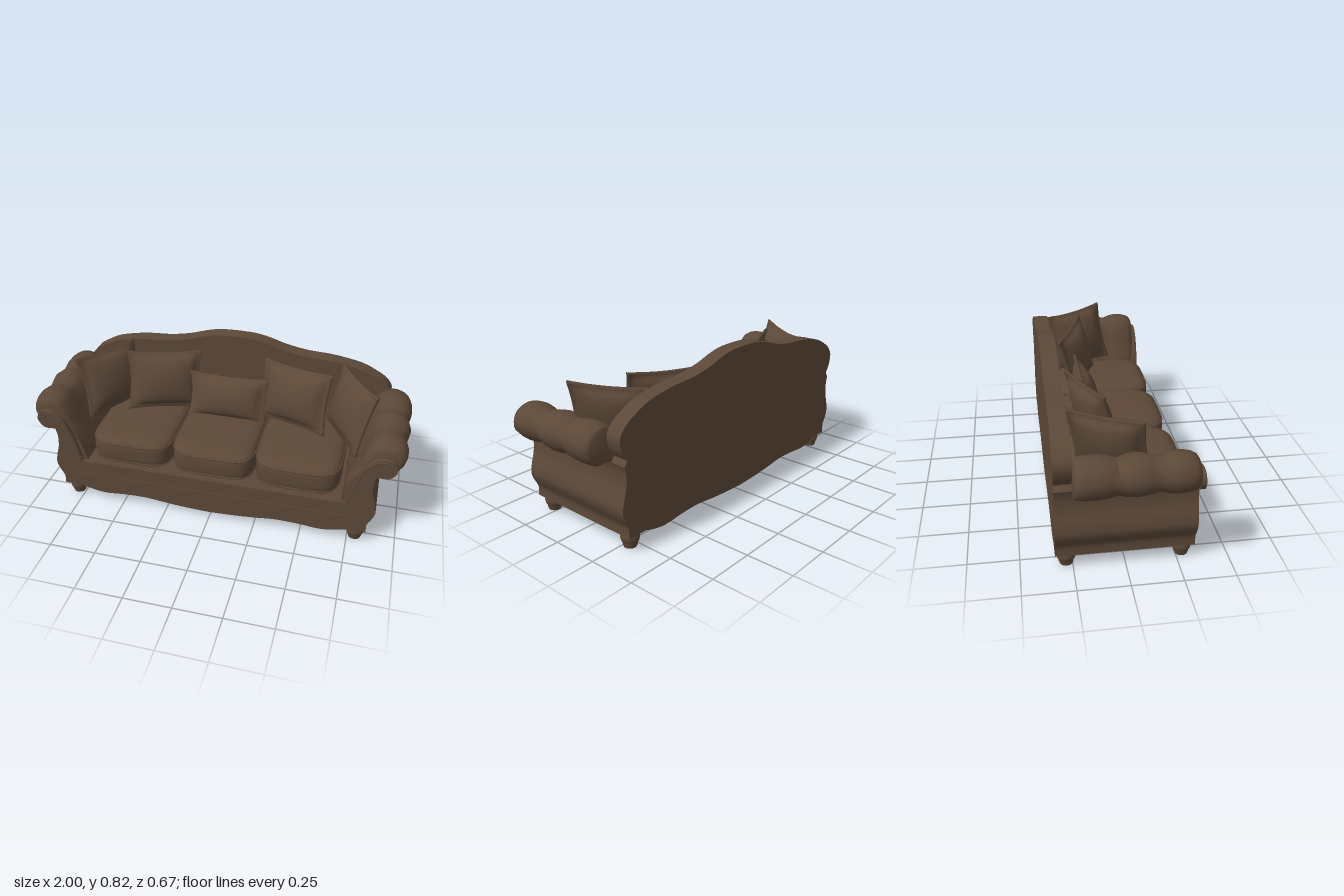
import * as THREE from 'three';
import { mergeVertices, toCreasedNormals } from 'three/addons/utils/BufferGeometryUtils.js';

const leather = new THREE.MeshStandardMaterial({ color: 0x5c4838 });
leather.name = 'brown leather';

const V = (a) => a.map(([x, y]) => new THREE.Vector2(x, y));
const smooth = (a, n) => new THREE.SplineCurve(V(a)).getPoints(n);

// Half outlines, on the +x side
const APRON = smooth([[0, 0.035], [0.12, 0.04], [0.25, 0.05], [0.36, 0.062], [0.48, 0.06], [0.6, 0.05], [0.68, 0.06], [0.74, 0.078]], 28);
const SIDE = smooth([[0.845, 0.078], [0.845, 0.13], [0.865, 0.17], [0.88, 0.215], [0.872, 0.27], [0.855, 0.33], [0.85, 0.4], [0.86, 0.445]], 24);
const SCROLL = smooth([[0.86, 0.445], [0.92, 0.445], [0.955, 0.49], [0.935, 0.538], [0.87, 0.545], [0.81, 0.5], [0.76, 0.4], [0.735, 0.3], [0.72, 0.25]], 32);
const CROWN = smooth([[0.84, 0.47], [0.87, 0.52], [0.88, 0.58], [0.85, 0.63], [0.79, 0.67], [0.7, 0.71], [0.55, 0.738], [0.4, 0.748], [0.28, 0.77], [0.18, 0.8], [0.1, 0.816], [0, 0.82]], 44);

function mesh(name, geometry) {
  const m = new THREE.Mesh(geometry, leather);
  m.name = name;
  return m;
}

// Extrude an outline from z0 to z1 with softened curved sides
function slab(name, pts, z0, z1) {
  const g = new THREE.ExtrudeGeometry(new THREE.Shape(pts), { depth: z1 - z0, bevelEnabled: false });
  g.translate(0, 0, z0);
  return mesh(name, toCreasedNormals(g, 0.6));
}

const flipX = (pts) => pts.map((p) => new THREE.Vector2(-p.x, p.y)).reverse();
const mirrored = (half) => half.concat(flipX(half).filter((p) => Math.abs(p.x) > 1e-4));

function tube(name, pts, radius, closed = false) {
  const curve = new THREE.CatmullRomCurve3(pts, closed);
  return mesh(name, new THREE.TubeGeometry(curve, pts.length * 2, radius, 6, closed));
}

// Cube whose vertices are moved by a rule, then welded
function shapedBox(segX, segY, segZ, rule) {
  let g = new THREE.BoxGeometry(2, 2, 2, segX, segY, segZ);
  const p = g.attributes.position;
  const v = new THREE.Vector3();
  for (let i = 0; i < p.count; i++) {
    rule(v.fromBufferAttribute(p, i));
    p.setXYZ(i, v.x, v.y, v.z);
  }
  g.deleteAttribute('normal');
  g.deleteAttribute('uv');
  g = mergeVertices(g, 1e-5);
  g.computeVertexNormals();
  return g;
}

// Seat cushion: superellipsoid with welts
function cushion(x) {
  const group = new THREE.Group();
  group.name = 'seatCushion';
  const W = 0.227, H = 0.088, D = 0.285, n = 5;
  group.add(mesh('cushionBody', shapedBox(18, 12, 18, (v) => {
    const s = (Math.abs(v.x) ** n + Math.abs(v.y) ** n + Math.abs(v.z) ** n) ** (-1 / n);
    v.multiplyScalar(s).multiply(new THREE.Vector3(W, H, D));
  })));
  for (const y of [-0.055, 0.05]) {
    const ring = [];
    for (let i = 0; i < 40; i++) {
      const a = (i / 40) * Math.PI * 2, c = Math.cos(a), s = Math.sin(a);
      const r = (Math.abs(c) ** n + Math.abs(s) ** n) ** (-1 / n) * 0.985;
      ring.push(new THREE.Vector3(W * r * c, y, D * r * s));
    }
    group.add(tube('welt', ring, 0.006, true));
  }
  group.position.set(x, 0.333, 0.035);
  return group;
}

// Throw pillow: puffed centre, flat flange, sides pinched between pointed corners
function pillow(name, w, h, thick, pos, yaw, lean, roll) {
  const m = mesh(name, shapedBox(28, 28, 2, (v) => {
    const { x: u, y: t, z } = v;
    const iu = Math.min(1, Math.abs(u) / 0.87), it = Math.min(1, Math.abs(t) / 0.87);
    const puff = Math.sqrt((1 - iu * iu) * (1 - it * it));
    v.set(u * (w / 2) * (1 - 0.08 * (1 - t * t)), t * (h / 2) * (1 - 0.08 * (1 - u * u)), z * (0.007 + thick * puff));
  }));
  m.position.set(...pos);
  m.rotation.set(lean, yaw, roll, 'YXZ');
  return m;
}

// Rolled arm: scroll section swept along z and pinched into three lobes
const LOBES = [[0.31, 0.01], [0.31, 0.68], [0.3, 0.8], [0.28, 0.89], [0.25, 0.95], [0.21, 0.97], [0.17, 0.92], [0.13, 0.8],
  [0.09, 0.91], [0.03, 1], [-0.02, 0.94], [-0.055, 0.83], [-0.09, 0.94], [-0.14, 1], [-0.2, 1], [-0.24, 0.94], [-0.25, 0.84], [-0.25, 0.01]];
function rolledArm(side) {
  const raw = [[0.86, 0.442], [0.94, 0.445], [0.985, 0.485], [1, 0.54], [0.97, 0.602], [0.9, 0.632], [0.83, 0.61], [0.79, 0.55],
    [0.755, 0.46], [0.72, 0.38], [0.7, 0.27], [0.8, 0.27], [0.83, 0.36]];
  const curve = new THREE.CatmullRomCurve3(raw.map(([x, y]) => new THREE.Vector3(x, y, 0)), true);
  let pts = curve.getPoints(52).slice(0, 52).map((p) => new THREE.Vector2(p.x, p.y));
  if (side < 0) pts = flipX(pts);
  const N = pts.length, pos = [], idx = [], cx = 0.88 * side, cy = 0.5;
  LOBES.forEach(([z, s], i) => pts.forEach((p, j) => {
    pos.push(cx + (p.x - cx) * s, cy + (p.y - cy) * s, z);
    if (i === LOBES.length - 1) return;
    const a = i * N + j, b = i * N + (j + 1) % N;
    idx.push(a, a + N, b, b, a + N, b + N);
  }));
  const g = new THREE.BufferGeometry();
  g.setAttribute('position', new THREE.Float32BufferAttribute(pos, 3));
  g.setIndex(idx);
  return mesh('rolledArm', toCreasedNormals(g, 0.8));
}

export function createModel() {
  const sofa = new THREE.Group();
  sofa.name = 'sofa';

  // Base, back and front frame
  const lowSide = SIDE.filter((p) => p.y < 0.25);
  sofa.add(slab('base', mirrored([...APRON, ...lowSide, ...V([[0.87, 0.25], [0, 0.25]])]), -0.3, 0.31));
  sofa.add(slab('backrest', mirrored([...APRON, ...SIDE, ...CROWN]), -0.335, -0.25));
  sofa.add(slab('frontFrame', mirrored([...APRON, ...SIDE.slice(0, -1), ...SCROLL, new THREE.Vector2(0, 0.25)]), 0.31, 0.333));
  const rail = mesh('railBead', new THREE.BoxGeometry(1.48, 0.008, 0.008));
  rail.position.set(0, 0.167, 0.333);
  sofa.add(rail);

  for (const side of [1, -1]) {
    // Arms
    const inner = V([[0.82, 0.5], [0.77, 0.44], [0.73, 0.36], [0.7, 0.25], [0.7, 0.2], [0.85, 0.2]]);
    const body = [...SIDE.filter((p) => p.y >= 0.22), ...inner];
    sofa.add(slab('armBody', side > 0 ? body : flipX(body), -0.3, 0.312));
    sofa.add(rolledArm(side));

    // Scroll trim on the arm front
    const trim = [[0.9, 0.5], [0.92, 0.515], [0.9, 0.535], [0.86, 0.53], [0.81, 0.485], [0.765, 0.39], [0.742, 0.3], [0.735, 0.24]];
    sofa.add(tube('scrollTrim', trim.map(([x, y]) => new THREE.Vector3(x * side, y, 0.332)), 0.005));

    // Turned feet
    const foot = V([[0, 0], [0.032, 0], [0.036, 0.012], [0.036, 0.02], [0.044, 0.035], [0.048, 0.055], [0.044, 0.068], [0.048, 0.074], [0.048, 0.085], [0, 0.085]]);
    for (const z of [0.28, -0.28]) {
      const f = mesh('foot', toCreasedNormals(new THREE.LatheGeometry(foot, 24), 0.7));
      f.position.set(0.79 * side, 0, z);
      sofa.add(f);
    }

    // Side pillows
    sofa.add(pillow('cornerPillow', 0.4, 0.35, 0.055, [0.675 * side, 0.57, -0.06], -1.03 * side, -0.28, 0.03 * side));
    sofa.add(pillow('backPillow', 0.42, 0.34, 0.06, [0.37 * side, 0.58, -0.1], -0.38 * side, -0.25, 0.05 * side));
  }

  // Seat and middle pillow
  for (const x of [-0.455, 0, 0.455]) sofa.add(cushion(x));
  sofa.add(pillow('lumbarPillow', 0.45, 0.26, 0.055, [0, 0.52, -0.09], 0, -0.3, 0));

  return sofa;
}
